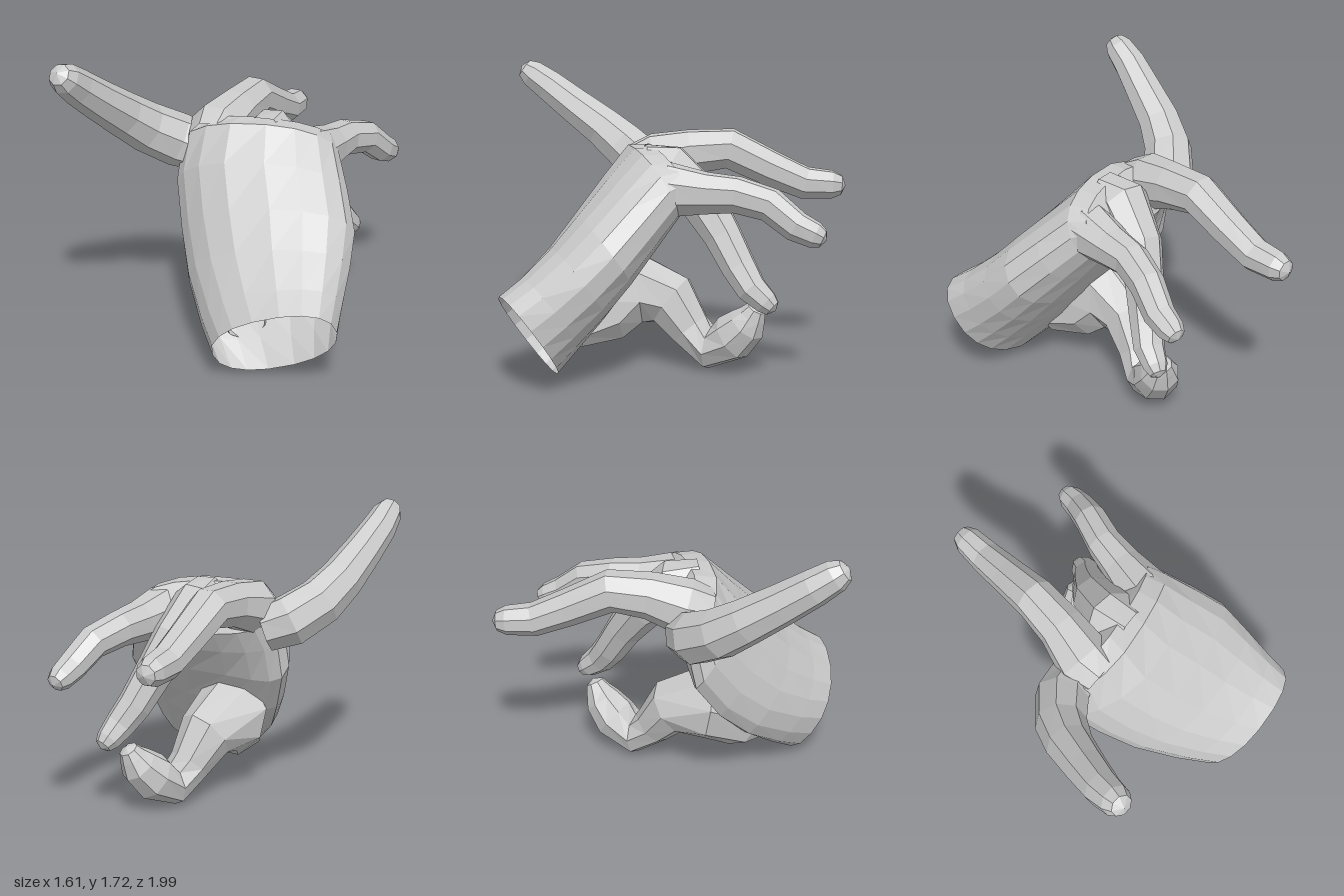
import * as THREE from 'three';

const V = (a) => new THREE.Vector3(...a);

// Skin a list of rings (arrays of Vector3) and close the last ring with a fan.
function loft(name, rings, capPoint) {
  const n = rings[0].length, pos = [], idx = [];
  rings.forEach((r) => r.forEach((p) => pos.push(p.x, p.y, p.z)));
  for (let k = 0; k < rings.length - 1; k++) {
    for (let i = 0; i < n; i++) {
      const j = (i + 1) % n, a = k * n + i, b = k * n + j;
      idx.push(a, b, b + n, a, b + n, a + n);
    }
  }
  const base = (rings.length - 1) * n;
  pos.push(capPoint.x, capPoint.y, capPoint.z);
  for (let i = 0; i < n; i++) idx.push(base + i, base + ((i + 1) % n), rings.length * n);
  const geo = new THREE.BufferGeometry();
  geo.setAttribute('position', new THREE.Float32BufferAttribute(pos, 3));
  geo.setIndex(idx);
  const flat = geo.toNonIndexed();
  flat.computeVertexNormals();
  const mesh = new THREE.Mesh(flat, new THREE.MeshStandardMaterial({
    color: 0xcccccc, flatShading: true, side: THREE.DoubleSide,
  }));
  mesh.name = name;
  return mesh;
}

// A finger: joints are [x, y, z, radius]; the end is rounded off.
function finger(name, joints, sides = 8) {
  const pts = joints.map((j) => V(j)), last = pts.length - 1;
  const tangents = pts.map((p, i) =>
    pts[Math.min(i + 1, last)].clone().sub(pts[Math.max(i - 1, 0)]).normalize());
  let u = new THREE.Vector3(1, 0, 0);
  const rings = [];
  const addRing = (c, t, r) => {
    u = u.clone().addScaledVector(t, -u.dot(t)).normalize();
    const v = t.clone().cross(u);
    rings.push(Array.from({ length: sides }, (_, i) => {
      const a = ((i + 0.5) / sides) * Math.PI * 2;
      return c.clone().addScaledVector(u, r * Math.cos(a)).addScaledVector(v, r * Math.sin(a));
    }));
  };
  pts.forEach((p, i) => addRing(p, tangents[i], joints[i][3]));
  const tip = pts[last], t = tangents[last], r = joints[last][3];
  addRing(tip.clone().addScaledVector(t, r * 0.65), t, r * 0.7);
  return loft(name, rings, tip.clone().addScaledVector(t, r * 0.95));
}

// Palm cross-sections: centre, half-width, half-thickness, curl of the thumb-side edge.
function palm() {
  const sections = [
    [[0.46, 0.285, 0.82], [0.34, 0.115, -0.05], [0.02, 0.225, 0.16], 0],
    [[0.38, 0.39, 0.71], [0.4, 0.11, -0.07], [0.02, 0.21, 0.155], 0.4],
    [[0.28, 0.55, 0.56], [0.48, 0.09, -0.08], [0.01, 0.205, 0.148], 0.9],
    [[0.2, 0.73, 0.42], [0.53, 0.06, -0.09], [0, 0.2, 0.145], 1.3],
    [[0.1, 0.93, 0.27], [0.525, 0.03, -0.1], [0, 0.195, 0.135], 1.3],
    [[0.06, 1.1, 0.14], [0.46, 0.01, -0.11], [0, 0.2, 0.115], 0.7],
    [[0.06, 1.16, 0.04], [0.41, -0.01, -0.1], [0, 0.14, 0.09], 0.3],
  ];
  const sides = 18, curlDir = new THREE.Vector3(0.02, -0.06, -0.12);
  const soft = (x) => Math.sign(x) * Math.abs(x) ** 0.88;
  const rings = sections.map(([c, w, d, curl]) => Array.from({ length: sides }, (_, i) => {
    const a = (i / sides) * Math.PI * 2, s = soft(Math.cos(a));
    return V(c).addScaledVector(V(w), s).addScaledVector(V(d), -soft(Math.sin(a)))
      .addScaledVector(curlDir, curl * Math.min(s, 0) ** 2);
  }));
  return loft('palm', rings, new THREE.Vector3(0.06, 1.17, 0));
}

export function createModel() {
  const hand = new THREE.Group();
  hand.name = 'hand';
  hand.add(
    palm(),
    finger('indexFinger', [
      [-0.29, 1.06, 0.12, 0.14], [-0.42, 1.11, 0.17, 0.155], [-0.55, 1.21, 0.3, 0.145],
      [-0.62, 1.32, 0.44, 0.13], [-0.67, 1.45, 0.62, 0.115],
      [-0.71, 1.57, 0.78, 0.102], [-0.72, 1.645, 0.885, 0.088],
    ]),
    finger('middleFinger', [
      [-0.18, 1.15, 0.24, 0.13], [-0.195, 1.18, 0.11, 0.165], [-0.165, 1.235, -0.1, 0.135],
      [-0.155, 1.255, -0.32, 0.122], [-0.14, 1.14, -0.56, 0.108],
      [-0.13, 1.055, -0.76, 0.098], [-0.13, 1.045, -0.92, 0.085],
    ]),
    finger('ringFinger', [
      [0.12, 1.18, 0.18, 0.14], [0.1, 1.165, 0.04, 0.16], [0.16, 1.0, -0.15, 0.135],
      [0.24, 0.81, -0.27, 0.112], [0.31, 0.64, -0.36, 0.102],
      [0.37, 0.53, -0.43, 0.09], [0.4, 0.46, -0.51, 0.072],
    ]),
    finger('littleFinger', [
      [0.34, 1.08, 0.16, 0.14], [0.36, 1.095, 0.03, 0.155], [0.39, 1.08, -0.17, 0.12],
      [0.415, 1.075, -0.34, 0.105], [0.48, 1.03, -0.52, 0.097],
      [0.53, 0.92, -0.66, 0.087], [0.545, 0.875, -0.76, 0.075],
    ]),
    finger('thumb', [
      [0.2, 0.24, 0.6, 0.11], [0.08, 0.33, 0.43, 0.2], [-0.01, 0.47, 0.23, 0.235],
      [0.05, 0.39, 0.02, 0.17], [0.1, 0.23, -0.09, 0.125], [0.15, 0.13, -0.2, 0.125],
      [0.21, 0.21, -0.33, 0.14], [0.26, 0.3, -0.41, 0.115], [0.28, 0.36, -0.44, 0.08],
    ]),
  );
  return hand;
}
